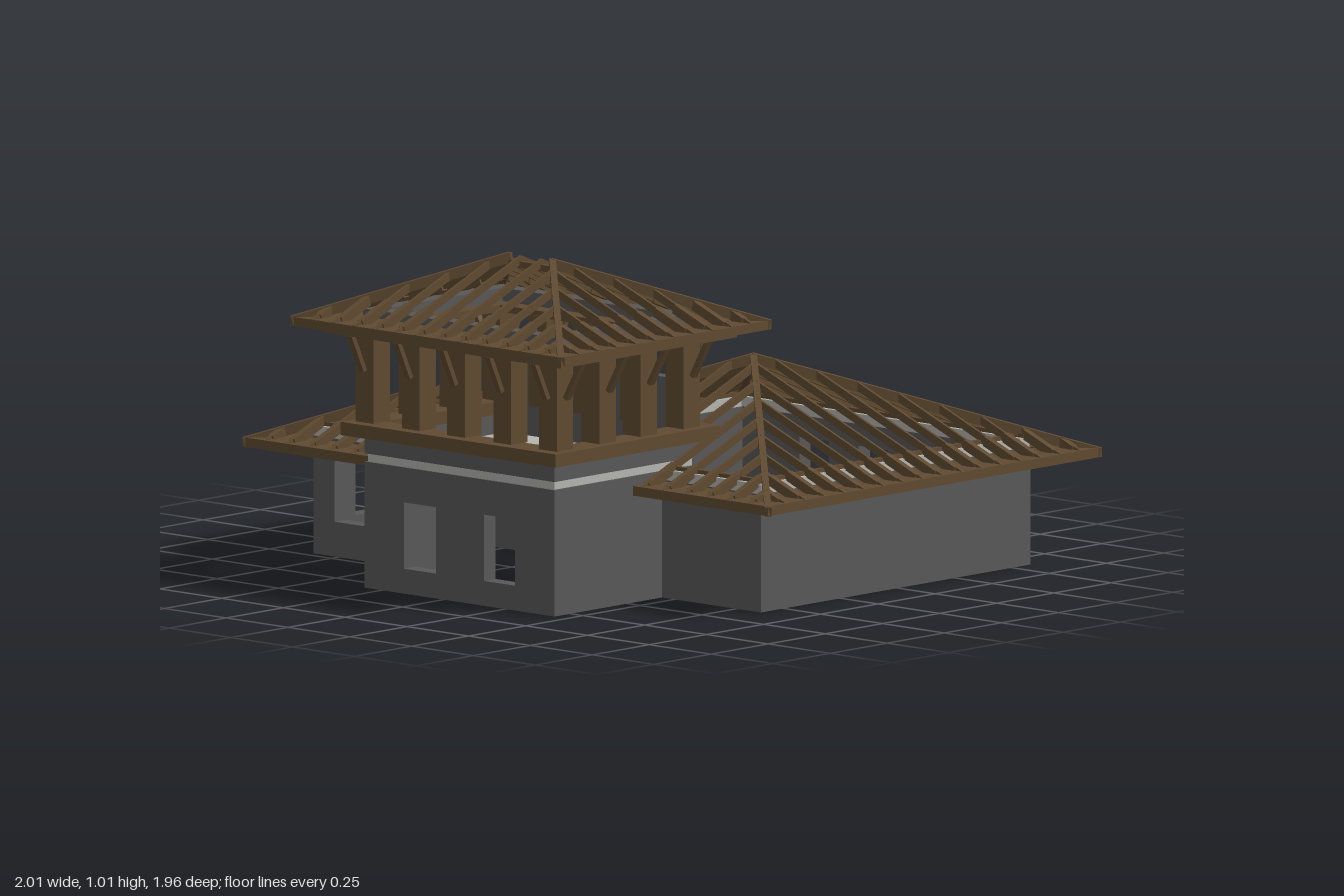
import * as THREE from 'three';

const material = (name, color) => Object.assign(new THREE.MeshStandardMaterial({ color }), { name });

export function createModel() {
  const model = new THREE.Group();
  model.name = 'timberHouse';
  const concrete = material('dark concrete', 0x585858);
  const slab = material('pale concrete', 0xb4b4b0);
  const wood = material('brown timber', 0x604a31);

  const add = (name, geometry, mat, parent = model) => {
    const mesh = new THREE.Mesh(geometry, mat);
    mesh.name = name;
    parent.add(mesh);
    return mesh;
  };
  const box = (name, mat, x0, x1, y0, y1, z0, z1, parent) => {
    const mesh = add(name, new THREE.BoxGeometry(x1 - x0, y1 - y0, z1 - z0), mat, parent);
    mesh.position.set((x0 + x1) / 2, (y0 + y1) / 2, (z0 + z1) / 2);
    return mesh;
  };
  // Rectangular frame lying flat
  const ring = (name, mat, x0, x1, z0, z1, w, y0, y1) => {
    box(name, mat, x0, x1, y0, y1, z0, z0 + w);
    box(name, mat, x0, x1, y0, y1, z1 - w, z1);
    box(name, mat, x0, x0 + w, y0, y1, z0 + w, z1 - w);
    box(name, mat, x1 - w, x1, y0, y1, z0 + w, z1 - w);
  };
  // Timber whose top edge runs from a to b
  const beam = (name, a, b, w, h, parent) => {
    const p = new THREE.Vector3(...a), q = new THREE.Vector3(...b);
    const along = q.clone().sub(p), length = along.length();
    if (length < 0.005) return;
    along.normalize();
    const side = new THREE.Vector3(along.z, 0, -along.x).normalize();
    const up = along.clone().cross(side);
    const mesh = add(name, new THREE.BoxGeometry(w, h, length), wood, parent);
    mesh.quaternion.setFromRotationMatrix(new THREE.Matrix4().makeBasis(side, up, along));
    mesh.position.copy(p).add(q).multiplyScalar(0.5).addScaledVector(up, -h / 2);
  };
  const rect = (Type, u0, u1, v0, v1) => {
    const s = new Type();
    s.moveTo(u0, v0).lineTo(u1, v0).lineTo(u1, v1).lineTo(u0, v1).closePath();
    return s;
  };

  // Walls: axis of run, start, end, lowest coordinate across, height, openings [u0, u1, y0, y1]
  const T = 0.05;
  const wall = (name, axis, u0, u1, at, top, openings = []) => {
    // a run along z is drawn with u = -z, then turned
    const turn = axis === 'z';
    const shape = turn ? rect(THREE.Shape, -u1, -u0, 0, top) : rect(THREE.Shape, u0, u1, 0, top);
    for (const [a, b, y0, y1] of openings)
      shape.holes.push(turn ? rect(THREE.Path, -b, -a, y0, y1) : rect(THREE.Path, a, b, y0, y1));
    const mesh = add(name, new THREE.ExtrudeGeometry(shape, { depth: T, bevelEnabled: false }), concrete);
    if (turn) { mesh.rotation.y = Math.PI / 2; mesh.position.x = at; } else mesh.position.z = at;
    if (top < 0.37) {
      // pale bond beam and timber wall plate
      const strip = (part, mat, inset, y0, y1) => turn
        ? box(part, mat, at + inset, at + T - inset, y0, y1, u0, u1)
        : box(part, mat, u0, u1, y0, y1, at + inset, at + T - inset);
      strip('bondBeam', slab, 0.004, top, 0.385);
      strip('wallPlate', wood, 0.017, 0.385, 0.397);
    }
  };
  const backBays = [0.02, 0.26, 0.5];
  wall('backWall', 'x', -0.32, 0.85, -0.83, 0.355, backBays.map(c => [c - 0.06, c + 0.06, 0.105, 0.29]));
  wall('mainLeftSideWall', 'z', -0.78, 0.02, -0.32, 0.355);
  wall('mainRightSideWall', 'z', -0.78, 0.3, 0.8, 0.355);
  wall('mainFrontWall', 'x', 0.45, 0.85, 0.3, 0.355);
  wall('wingBackWall', 'x', -0.85, -0.32, -0.03, 0.355);
  wall('wingSideWall', 'z', 0.02, 0.42, -0.85, 0.355, [[0.1, 0.34, 0.105, 0.31]]);
  wall('wingFrontWall', 'x', -0.85, -0.32, 0.42, 0.355, [[-0.765, -0.535, 0.105, 0.31]]);
  wall('towerFrontWall', 'x', -0.32, 0.45, 0.77, 0.38,
    [[-0.16, -0.03, 0.075, 0.275], [0.165, 0.29, 0.075, 0.275]]);
  wall('towerLeftWall', 'z', 0.42, 0.77, -0.32, 0.38);
  wall('towerRightWall', 'z', 0.3, 0.77, 0.4, 0.38);

  // Tower floor with stair opening and hatch
  ring('towerBondBeam', slab, -0.312, 0.442, 0.21, 0.812, 0.05, 0.38, 0.405);
  const floor = new THREE.Shape();
  floor.moveTo(-0.27, -0.26).lineTo(-0.27, -0.77).lineTo(0.14, -0.77).lineTo(0.14, -0.61)
    .lineTo(0.27, -0.61).lineTo(0.27, -0.26).closePath();
  floor.holes.push(rect(THREE.Path, -0.06, 0.1, -0.44, -0.28));
  const floorMesh = add('towerFloor', new THREE.ExtrudeGeometry(floor, { depth: 0.025, bevelEnabled: false }), slab);
  floorMesh.rotation.x = -Math.PI / 2;
  floorMesh.position.y = 0.38;
  ring('towerUpstand', concrete, -0.32, 0.45, 0.205, 0.82, 0.05, 0.405, 0.46);
  box('towerBackParapet', concrete, -0.3, 0.43, 0.46, 0.645, 0.22, 0.26);
  ring('galleryBeam', wood, -0.37, 0.5, 0.15, 0.87, 0.095, 0.46, 0.5);

  // Gallery columns and brackets
  const xs = [-0.307, -0.12, 0.063, 0.25, 0.435], zs = [0.243, 0.43, 0.61, 0.797];
  xs.forEach((x, i) => zs.forEach((z, j) => {
    const sx = i === 0 ? -1 : i === 4 ? 1 : 0, sz = j === 0 ? -1 : j === 3 ? 1 : 0;
    if (!sx && !sz) return;
    box('galleryColumn', wood, x - 0.036, x + 0.036, 0.5, 0.775, z - 0.036, z + 0.036);
    if (sx) beam('bracket', [x + sx * 0.036, 0.66, z], [x + sx * 0.1, 0.775, z], 0.02, 0.015);
    if (sz) beam('bracket', [x, 0.66, z + sz * 0.036], [x, 0.775, z + sz * 0.09], 0.02, 0.015);
  }));
  ring('columnBeam', wood, -0.343, 0.471, 0.207, 0.833, 0.07, 0.77, 0.79);
  ring('outerEaveBeam', wood, -0.42, 0.55, 0.13, 0.9, 0.035, 0.768, 0.798);
  ring('towerTopBeam', concrete, -0.325, 0.455, 0.215, 0.82, 0.05, 0.8, 0.84);

  // Jack rafters on the four slopes; start(side, u) gives the first distance from the eave, or null
  const S = 0.4;
  const jackRafters = (name, x0, x1, z0, z1, y, start = () => 0, tail = 0.15) => {
    const group = new THREE.Group();
    group.name = name;
    model.add(group);
    const half = Math.min(x1 - x0, z1 - z0) / 2;
    const slope = (side, a, b, at) => {
      const n = Math.round((b - a) / 0.087);
      for (let i = 1; i < n; i++) {
        const u = a + (b - a) * i / n;
        const from = start(side, u), to = Math.min(u - a, b - u, half);
        if (from === null || from >= to) continue;
        const point = d => at(u, d, y + S * d);
        beam('jackRafter', point(from), point(to), 0.009, 0.024, group);
        if (from < tail) beam('rafterTail', point(Math.max(from, 0.03)), point(Math.min(to, tail)), 0.02, 0.028, group);
      }
    };
    slope('left', z0, z1, (u, d, h) => [x0 + d, h, u]);
    slope('right', z0, z1, (u, d, h) => [x1 - d, h, u]);
    slope('back', x0, x1, (u, d, h) => [u, h, z0 + d]);
    slope('front', x0, x1, (u, d, h) => [u, h, z1 - d]);
    return group;
  };
  const hip = (a, b, parent) => beam('hipRafter', a, b, 0.02, 0.03, parent);

  // Tower roof
  const tower = jackRafters('towerRoof', -0.48, 0.615, 0.05, 0.97, 0.818);
  const ridgeY = 0.818 + S * 0.46;
  for (const z of [0.05, 0.97]) {
    hip([-0.48, 0.818, z], [-0.02, ridgeY + 0.005, 0.51], tower);
    hip([0.615, 0.818, z], [0.155, ridgeY + 0.005, 0.51], tower);
  }
  beam('ridgeBeam', [-0.03, 0.985, 0.51], [0.165, 0.985, 0.51], 0.018, 0.02, tower);
  ring('towerEaves', wood, -0.48, 0.615, 0.05, 0.97, 0.155, 0.79, 0.817);

  // Main roof, broken off where it meets the wing and the tower
  const main = jackRafters('mainRoof', -0.47, 1.0, -0.98, 0.48, 0.35, (side, u) => {
    if (side === 'left') return u > 0.18 ? null : Math.max(0, u + 0.18);
    if (side === 'front') return u < -0.3 ? null : u < 0.47 ? 0.28 : 0;
    return 0;
  });
  const apex = [0.265, 0.642, -0.25];
  hip([-0.47, 0.35, -0.98], apex, main);
  hip([1.0, 0.35, -0.98], apex, main);
  hip([1.0, 0.35, 0.48], apex, main);
  hip([-0.18, 0.464, 0.195], apex, main);
  beam('linkRidge', [0.145, 0.595, -0.12], [0.145, 0.595, 0.21], 0.012, 0.02, main);
  beam('linkValley', [0.145, 0.594, -0.13], [0.43, 0.47, 0.17], 0.014, 0.022, main);
  box('mainLeftEave', wood, -0.47, -0.325, 0.323, 0.352, -0.98, -0.18);
  box('mainRightEave', wood, 0.86, 1.0, 0.323, 0.352, -0.98, 0.48);
  box('mainFrontEave', wood, 0.452, 0.86, 0.323, 0.352, 0.355, 0.48);

  // Back eave, raised into a small gable over each window
  let x = -0.325;
  for (const c of [...backBays, null]) {
    const end = c === null ? 0.86 : c - 0.06;
    box('backEave', wood, x, end, 0.323, 0.352, -0.98, -0.84);
    if (c === null) break;
    const chevron = new THREE.Shape();
    chevron.moveTo(-0.075, 0.335).lineTo(-0.06, 0.325).lineTo(0, 0.367).lineTo(0.06, 0.325)
      .lineTo(0.075, 0.335).lineTo(0, 0.392).closePath();
    const gable = add('eaveGable', new THREE.ExtrudeGeometry(chevron, { depth: 0.14, bevelEnabled: false }), wood);
    gable.position.set(c, 0, -0.978);
    x = c + 0.06;
  }

  // Wing roof, running into the tower and the main roof
  const wing = jackRafters('wingRoof', -1.0, 0.3, -0.18, 0.62, 0.35, (side, u) => {
    if (side === 'right' || (side !== 'left' && u > -0.32)) return null;
    return side === 'back' ? Math.max(0, u + 0.47) : 0;
  });
  hip([-1.0, 0.35, -0.18], [-0.6, 0.51, 0.22], wing);
  hip([-1.0, 0.35, 0.62], [-0.6, 0.51, 0.22], wing);
  beam('ridgeBeam', [-0.64, 0.488, 0.22], [-0.32, 0.488, 0.22], 0.018, 0.02, wing);
  beam('valleyRafter', [-0.47, 0.35, -0.18], [-0.27, 0.43, 0.02], 0.02, 0.03, wing);
  box('wingSideEave', wood, -1.0, -0.87, 0.323, 0.352, -0.18, 0.62);
  box('wingFrontEave', wood, -0.87, -0.322, 0.323, 0.352, 0.49, 0.62);
  box('wingBackEave', wood, -0.87, -0.325, 0.323, 0.352, -0.18, -0.035);

  return model;
}
